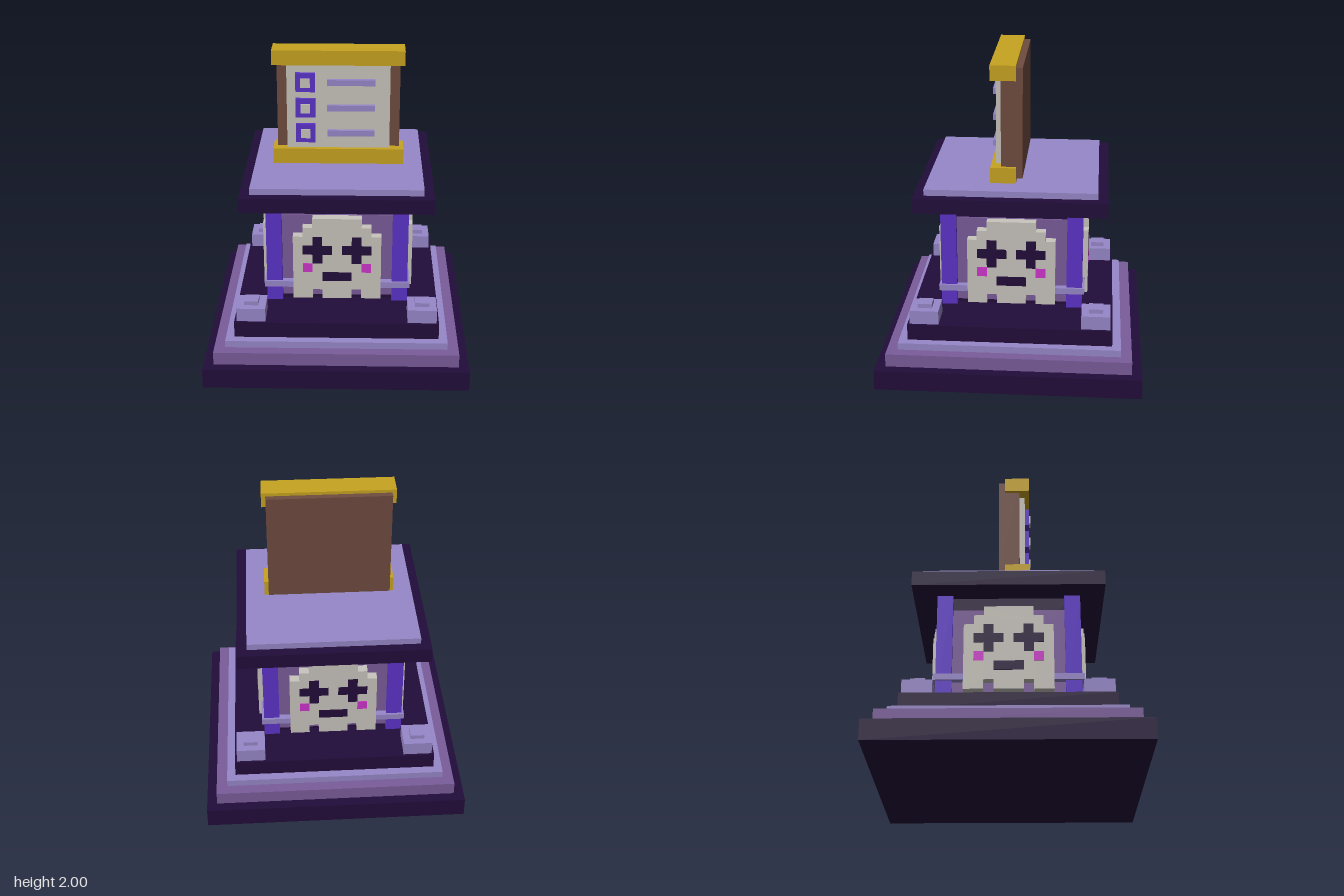
import * as THREE from 'three';

const mat = (name, color) => {
  const m = new THREE.MeshStandardMaterial({ color });
  m.name = name;
  return m;
};

export function createModel() {
  const dark = mat('darkPurple', 0x220d3a);
  const purple = mat('mutedPurple', 0x7b5c9b);
  const lavender = mat('lavender', 0x9788c9);
  const violet = mat('violet', 0x5c33c8);
  const cream = mat('cream', 0xc9c5be);
  const gold = mat('gold', 0xc8a420);
  const brown = mat('brown', 0x704c40);
  const pink = mat('pink', 0xcf35cc);

  const model = new THREE.Group();
  model.name = 'shrine';

  // Box given by its minimum and maximum on each axis
  const box = (parent, name, material, [x0, x1], [y0, y1], [z0, z1]) => {
    const mesh = new THREE.Mesh(new THREE.BoxGeometry(x1 - x0, y1 - y0, z1 - z0), material);
    mesh.position.set((x0 + x1) / 2, (y0 + y1) / 2, (z0 + z1) / 2);
    mesh.name = name;
    parent.add(mesh);
    return mesh;
  };
  const slab = (name, material, half, y) =>
    box(model, name, material, [-half, half], y, [-half, half]);

  // Stepped base
  slab('baseStep', dark, 0.84, [0, 0.13]);
  slab('secondStep', purple, 0.775, [0.13, 0.215]);
  slab('thirdStep', lavender, 0.705, [0.215, 0.26]);
  slab('topStep', dark, 0.65, [0.26, 0.365]);

  // Floating core and roof
  slab('core', dark, 0.41, [0.425, 1.105]);
  slab('roof', dark, 0.602, [1.105, 1.2]);
  slab('roofTop', lavender, 0.538, [1.2, 1.24]);

  // Corner blocks, pillars and pillar bands
  for (const sx of [-1, 1]) for (const sz of [-1, 1]) {
    const corner = new THREE.Group();
    corner.name = 'corner';
    const post = (name, material, centre, half, y) =>
      box(corner, name, material,
        [sx * centre - half, sx * centre + half], y, [sz * centre - half, sz * centre + half]);
    post('cornerBlock', lavender, 0.543, 0.092, [0.365, 0.455]);
    post('cornerBlockCap', lavender, 0.543, 0.045, [0.455, 0.483]);
    post('pillar', violet, 0.4, 0.05, [0.425, 1.105]);
    post('pillarBand', lavender, 0.37, 0.095, [0.525, 0.565]);
    model.add(corner);
  }

  // Pixel face, built on a 9 x 9 grid of cells
  const cell = 0.062, left = -4.5 * cell, bottom = 0.457, faceZ = 0.483;
  const px = c => left + c * cell;
  const py = r => bottom + (9 - r) * cell;
  const outline = [
    [0, 9], [2, 9], [2, 8], [3, 8], [3, 9], [6, 9], [6, 8], [7, 8], [7, 9], [9, 9],
    [9, 2], [8, 2], [8, 1], [7, 1], [7, 0], [2, 0], [2, 1], [1, 1], [1, 2], [0, 2],
  ].map(([c, r]) => new THREE.Vector2(px(c), py(r)));
  const headGeometry = new THREE.ExtrudeGeometry(new THREE.Shape(outline),
    { depth: faceZ - 0.415, bevelEnabled: false });

  for (let side = 0; side < 4; side++) {
    const face = new THREE.Group();
    face.name = 'facePanel';
    box(face, 'panel', purple, [-0.36, 0.36], [0.452, 1.017], [0.4, 0.422]);
    const head = new THREE.Mesh(headGeometry, cream);
    head.name = 'head';
    head.position.z = 0.415;
    face.add(head);
    // Thin plate over columns c0..c1 and rows r0..r1
    const plate = (name, material, c0, c1, r0, r1) =>
      box(face, name, material, [px(c0), px(c1)], [py(r1), py(r0)], [faceZ - 0.001, faceZ + 0.003]);
    for (const c of [1, 5]) {
      plate('eyeUpper', dark, c + 1, c + 2, 2, 3);
      plate('eyeMiddle', dark, c, c + 3, 3, 4);
      plate('eyeLower', dark, c + 1, c + 2, 4, 5);
    }
    for (const c of [1, 7]) plate('cheek', pink, c, c + 1, 5, 6);
    plate('mouth', dark, 3, 6, 6, 7);
    face.rotation.y = side * Math.PI / 2;
    model.add(face);
  }

  // Scroll sign above the roof
  const sign = new THREE.Group();
  sign.name = 'sign';
  box(sign, 'board', brown, [-0.39, 0.39], [1.275, 1.98], [-0.065, 0.07]);
  box(sign, 'paper', cream, [-0.327, 0.327], [1.34, 1.91], [0.06, 0.105]);
  box(sign, 'lowerRoller', gold, [-0.417, 0.417], [1.25, 1.35], [-0.025, 0.135]);
  box(sign, 'upperRoller', gold, [-0.417, 0.417], [1.905, 2], [-0.025, 0.135]);
  for (const y of [1.79, 1.622, 1.454]) {
    box(sign, 'checkBox', violet, [-0.27, -0.146], [y - 0.061, y + 0.061], [0.1, 0.132]);
    box(sign, 'checkBoxCentre', cream, [-0.238, -0.178], [y - 0.03, y + 0.03], [0.1, 0.142]);
    box(sign, 'textLine', lavender, [-0.07, 0.232], [y - 0.019, y + 0.019], [0.1, 0.132]);
  }
  model.add(sign);

  return model;
}
